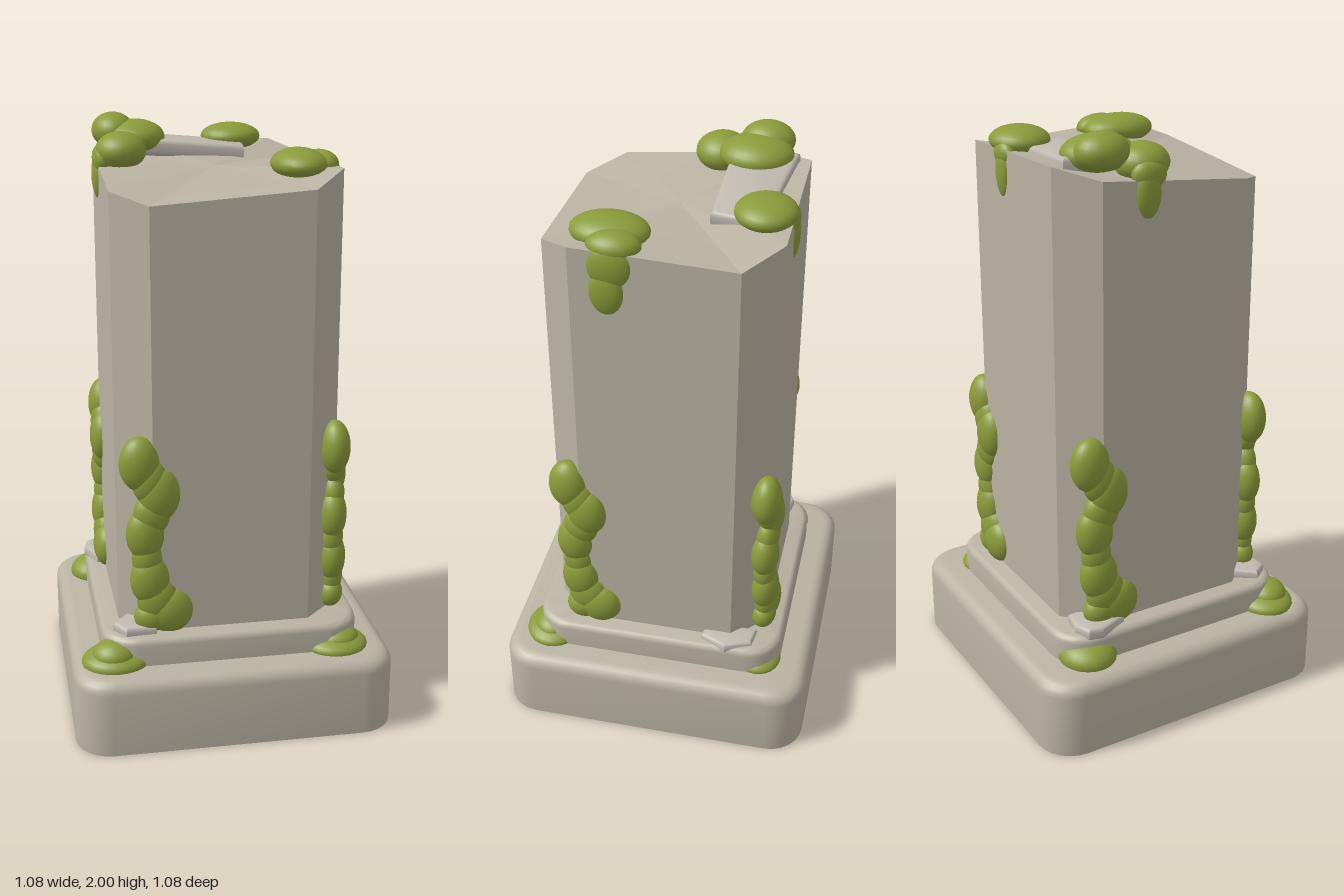
import * as THREE from 'three';
import { toCreasedNormals } from 'three/addons/utils/BufferGeometryUtils.js';

const material = (name, color) => {
  const m = new THREE.MeshStandardMaterial({ color });
  m.name = name;
  return m;
};

// Square ring with cut (segs = 1) or rounded corners
function ring(half, corner, segs, heightAt) {
  const pts = [];
  for (let q = 0; q < 4; q++) {
    for (let i = 0; i <= segs; i++) {
      const a = (q + i / segs) * Math.PI / 2;
      const mid = (q + 0.5) * Math.PI / 2;
      const x = Math.SQRT2 * Math.cos(mid) * (half - corner) + Math.cos(a) * corner;
      const z = Math.SQRT2 * Math.sin(mid) * (half - corner) + Math.sin(a) * corner;
      pts.push(new THREE.Vector3(x, heightAt(x, z), z));
    }
  }
  return pts;
}

// Closed solid through a stack of rings
function loft(rings, crease) {
  const pos = [];
  const tri = (...p) => p.forEach((v) => pos.push(v.x, v.y, v.z));
  const centre = (r) => r.reduce((s, v) => s.add(v), new THREE.Vector3()).divideScalar(r.length);
  const n = rings[0].length, last = rings[rings.length - 1];
  const low = centre(rings[0]), high = centre(last);
  for (let j = 0; j < n; j++) {
    const k = (j + 1) % n;
    for (let i = 0; i < rings.length - 1; i++) {
      const r = rings[i], s = rings[i + 1];
      tri(r[j], s[j], r[k]);
      tri(r[k], s[j], s[k]);
    }
    tri(low, rings[0][j], rings[0][k]);
    tri(high, last[k], last[j]);
  }
  const g = new THREE.BufferGeometry();
  g.setAttribute('position', new THREE.Float32BufferAttribute(pos, 3));
  return toCreasedNormals(g, crease);
}

// Plinth block with a rounded top edge
function block(half, corner, bottom, top, round) {
  const rings = [ring(half, corner, 6, () => bottom)];
  for (let i = 0; i <= 5; i++) {
    const a = (i / 5) * Math.PI / 2;
    const inset = round * (1 - Math.cos(a));
    rings.push(ring(half - inset, corner - inset * 0.5, 6, () => top - round + round * Math.sin(a)));
  }
  return loft(rings, 0.6);
}

// Flat broken slab from an x,z outline
function slab(outline, thick, bevel) {
  const shape = new THREE.Shape(outline.map(([x, z]) => new THREE.Vector2(x, -z)));
  const g = new THREE.ExtrudeGeometry(shape, {
    depth: thick - 2 * bevel, bevelEnabled: true, bevelSize: bevel,
    bevelThickness: bevel, bevelOffset: -bevel, bevelSegments: 3,
  });
  g.translate(0, 0, bevel);
  g.rotateX(-Math.PI / 2);
  return toCreasedNormals(g, 0.6);
}

export function createModel() {
  const model = new THREE.Group();
  model.name = 'mossyPillar';
  const stone = material('stone', 0xbab3a3);
  const rubble = material('paleStone', 0xc0bab0);
  const moss = material('moss', 0x8b9b3a);

  const add = (parent, name, geometry, mat) => {
    const mesh = new THREE.Mesh(geometry, mat);
    mesh.name = name;
    parent.add(mesh);
    return mesh;
  };
  const ball = new THREE.SphereGeometry(1, 24, 16);
  // Each blob is [x, y, z, rx, ry, rz]
  const clump = (name, blobs) => {
    const group = new THREE.Group();
    group.name = name;
    blobs.forEach(([x, y, z, rx, ry, rz]) => {
      const b = add(group, 'mossBlob', ball, moss);
      b.position.set(x, y, z);
      b.scale.set(rx, ry, rz);
    });
    model.add(group);
    return group;
  };

  // Plinth
  add(model, 'base', block(0.54, 0.12, 0, 0.265, 0.045), stone);
  add(model, 'step', block(0.437, 0.12, 0.25, 0.362, 0.025), stone);

  // Eight-sided shaft with an uneven sloping top
  const slope = (x, z) => 1.845 - 0.125 * z + x * (z > 0 ? 0.07 : -0.035)
    + (Math.abs(x) > 0.3 ? 0.025 * Math.sign(z) : 0);
  add(model, 'shaft', loft([
    ring(0.373, 0.112, 1, () => 0.34),
    ring(0.373, 0.112, 1, slope),
  ], 0.15), stone);

  // Broken pieces on the top and on the step
  const cap = add(model, 'topSlab', slab(
    [[-0.3, -0.12], [0.125, -0.12], [0.15, -0.29], [0.0, -0.305], [-0.27, -0.335]], 0.055, 0.015), rubble);
  cap.position.y = 1.848;
  cap.rotation.z = -0.08;
  const chips = [
    [[-0.44, -0.3], [-0.4, -0.2], [-0.3, -0.2], [-0.3, -0.36], [-0.38, -0.375], [-0.43, -0.35]],
    [[0.33, -0.17], [0.4, -0.16], [0.437, -0.25], [0.4, -0.34], [0.33, -0.35]],
    [[-0.4, 0.35], [-0.36, 0.405], [-0.26, 0.4], [-0.28, 0.3], [-0.35, 0.28]],
  ];
  chips.forEach((outline, i) => {
    const chip = add(model, 'stoneChip', slab(outline, 0.045, 0.014), rubble);
    chip.position.y = i === 1 ? 0.335 : 0.345;
  });

  // Creeping moss on each side, turned around the shaft
  for (let i = 0; i < 4; i++) {
    clump('climbingMoss', [
      [-0.303, 0.95, 0.357, 0.067, 0.092, 0.052],
      [-0.27, 0.89, 0.36, 0.06, 0.08, 0.045],
      [-0.24, 0.845, 0.365, 0.068, 0.092, 0.047],
      [-0.265, 0.775, 0.36, 0.062, 0.07, 0.043],
      [-0.288, 0.705, 0.357, 0.064, 0.09, 0.05],
      [-0.282, 0.62, 0.357, 0.052, 0.07, 0.042],
      [-0.275, 0.545, 0.36, 0.066, 0.09, 0.05],
      [-0.25, 0.47, 0.362, 0.07, 0.08, 0.045],
      [-0.21, 0.43, 0.365, 0.078, 0.08, 0.047],
      [-0.27, 0.41, 0.36, 0.06, 0.055, 0.045],
    ]).rotation.y = i * Math.PI / 2;
  }

  // Low clumps on the base corners
  clump('baseMoss', [
    [-0.395, 0.27, 0.38, 0.115, 0.045, 0.1],
    [-0.4, 0.295, 0.39, 0.075, 0.052, 0.07],
    [0.355, 0.27, 0.385, 0.11, 0.04, 0.1],
    [0.36, 0.29, 0.385, 0.075, 0.045, 0.07],
    [-0.385, 0.275, -0.335, 0.105, 0.06, 0.098],
    [0.355, 0.27, -0.36, 0.085, 0.035, 0.08],
  ]);

  // Clumps on the top with drips over the edges
  clump('topMossRight', [
    [-0.305, 1.94, -0.225, 0.072, 0.06, 0.088],
    [-0.235, 1.92, -0.2, 0.102, 0.058, 0.12],
    [-0.295, 1.89, -0.08, 0.085, 0.062, 0.088],
    [-0.355, 1.865, -0.09, 0.035, 0.05, 0.06],
    [-0.367, 1.81, -0.1, 0.025, 0.08, 0.045],
  ]);
  clump('topMossBack', [
    [0.11, 1.905, -0.288, 0.103, 0.046, 0.098],
    [0.075, 1.875, -0.36, 0.05, 0.04, 0.028],
    [0.07, 1.82, -0.367, 0.038, 0.085, 0.022],
  ]);
  clump('topMossLeft', [
    [0.25, 1.868, 0.16, 0.09, 0.05, 0.125],
    [0.325, 1.862, 0.13, 0.062, 0.045, 0.085],
    [0.362, 1.81, 0.135, 0.032, 0.075, 0.072],
    [0.367, 1.725, 0.145, 0.027, 0.08, 0.055],
  ]);

  return model;
}
